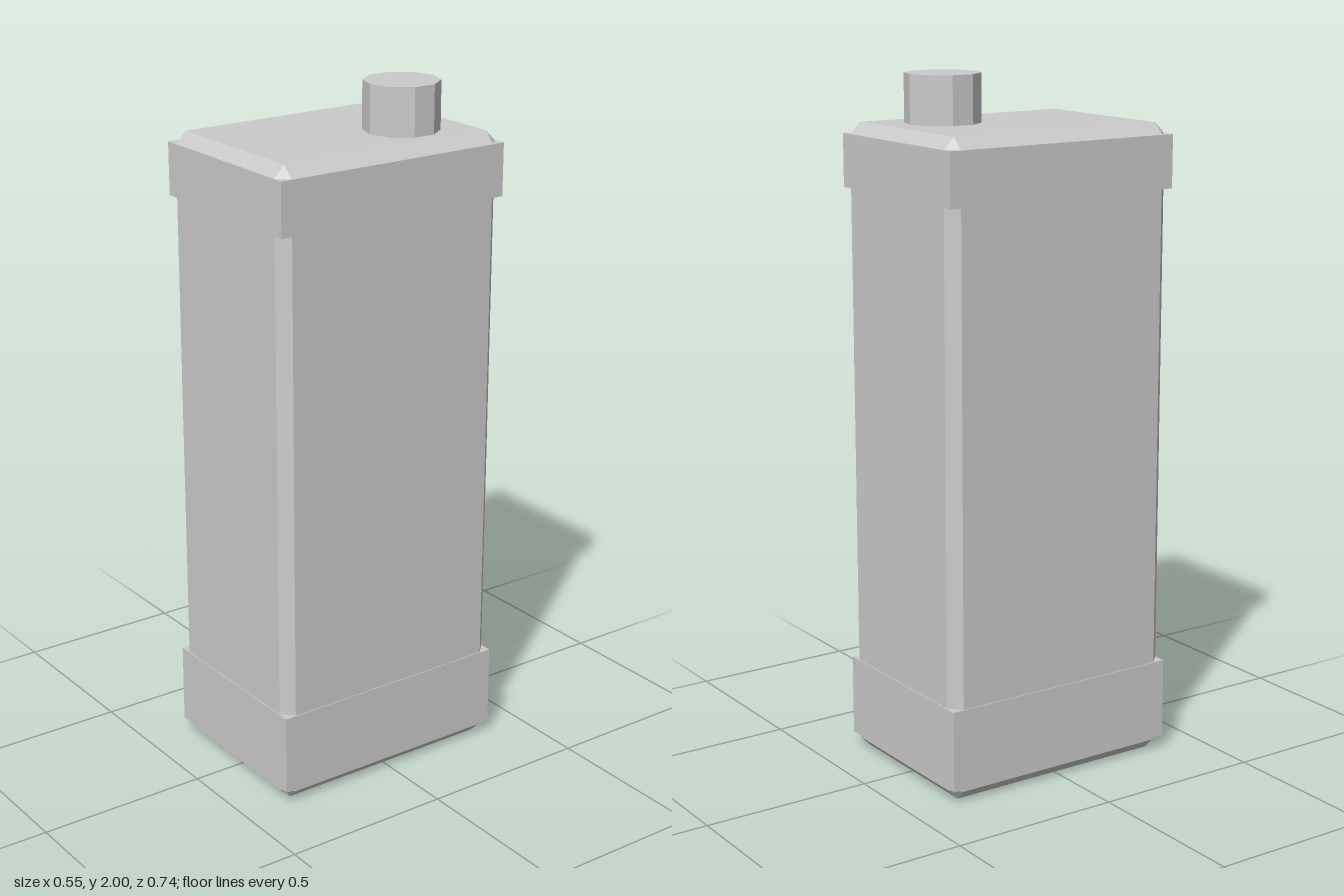
import * as THREE from 'three';
import { ConvexGeometry } from 'three/addons/geometries/ConvexGeometry.js';

const material = new THREE.MeshStandardMaterial({ color: 0xcccccc, flatShading: true });

function addPart(group, name, geometry, x, y, z) {
  const mesh = new THREE.Mesh(geometry, material);
  mesh.name = name;
  mesh.position.set(x, y, z);
  group.add(mesh);
  return mesh;
}

// Box with every edge cut by a flat chamfer and a triangle at each corner
function chamferedBox(width, height, depth, c) {
  const points = [];
  const [x, y, z] = [width / 2, height / 2, depth / 2];
  for (const sx of [-1, 1]) for (const sy of [-1, 1]) for (const sz of [-1, 1]) {
    points.push(
      new THREE.Vector3(sx * x, sy * (y - c), sz * (z - c)),
      new THREE.Vector3(sx * (x - c), sy * y, sz * (z - c)),
      new THREE.Vector3(sx * (x - c), sy * (y - c), sz * z)
    );
  }
  return new ConvexGeometry(points);
}

export function createModel() {
  const group = new THREE.Group();
  group.name = 'canister';

  // Main body
  const height = 1.862;
  addPart(group, 'body', chamferedBox(0.544, height, 0.737, 0.033), 0, height / 2, 0);

  // Square-cornered bands around both ends
  for (const [name, bottom, top] of [['lowerBand', 0.04, 0.277], ['upperBand', 1.678, 1.83]]) {
    addPart(group, name, new THREE.BoxGeometry(0.549, top - bottom, 0.742), 0, (bottom + top) / 2, 0);
  }

  // Ten-sided cap, set toward the back left of the lid
  addPart(group, 'cap', new THREE.CylinderGeometry(0.108, 0.108, 0.15, 10), 0.093, 1.925, -0.155);

  // Thin square label on the left side
  const label = addPart(group, 'label', new THREE.PlaneGeometry(0.46, 0.46), 0.273, 0.94, 0);
  label.rotation.y = Math.PI / 2;

  return group;
}
